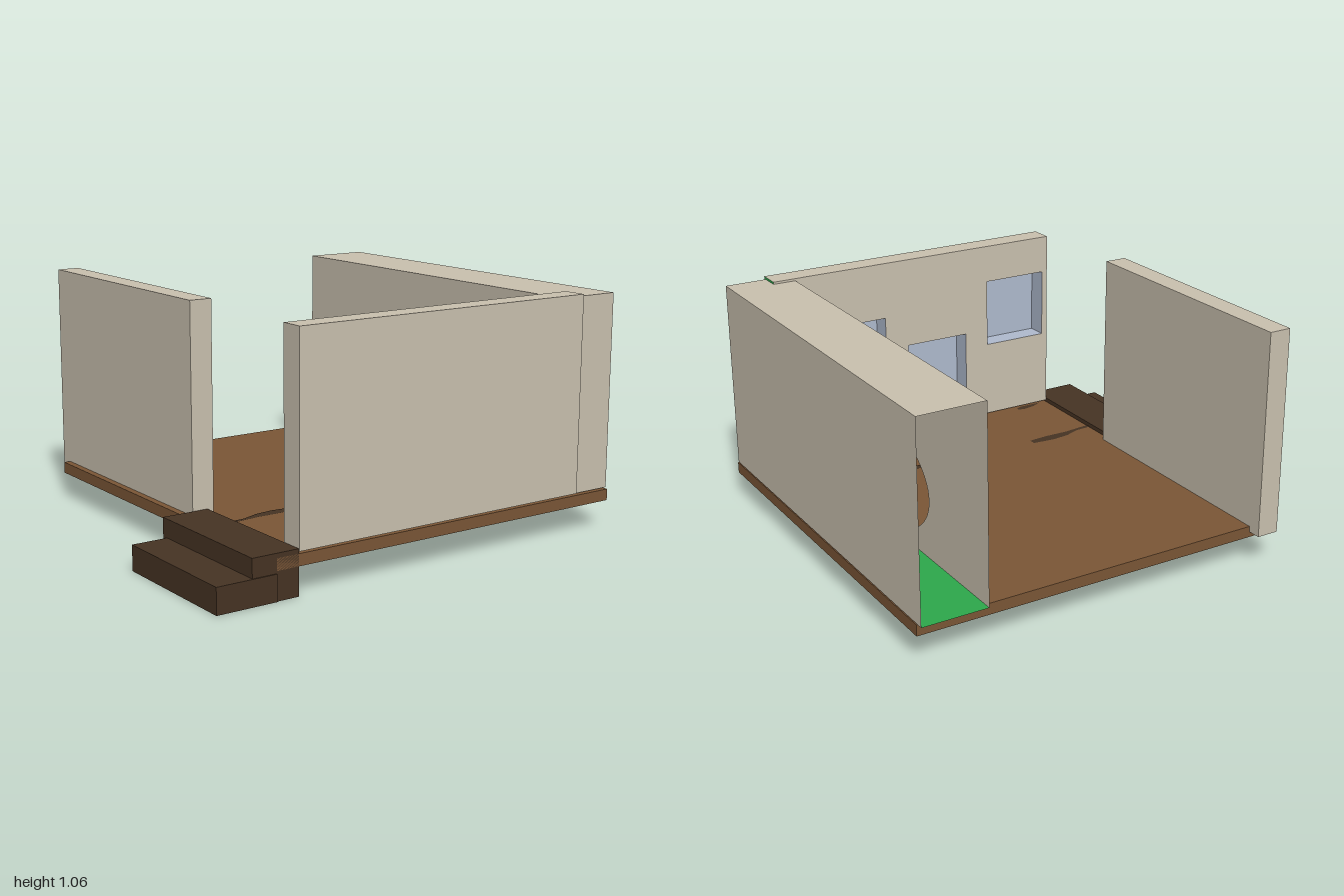
import * as THREE from 'three';

const mat = (name, color, side = THREE.FrontSide) => {
  const m = new THREE.MeshStandardMaterial({ color, side });
  m.name = name;
  return m;
};

export function createModel() {
  const plaster = mat('plaster', 0xc9c0ae, THREE.DoubleSide);
  const wood = mat('wood', 0x7a5636);
  const darkWood = mat('dark wood', 0x463323);
  const green = mat('green base', 0x2da84b, THREE.DoubleSide);
  const glass = mat('window blue', 0xafbacd, THREE.DoubleSide);
  const model = new THREE.Group();
  model.name = 'openRoom';

  const add = (name, geometry, material, parent = model) => {
    const mesh = new THREE.Mesh(geometry, material);
    mesh.name = name;
    parent.add(mesh);
    return mesh;
  };

  // Box from its bounds; faces ordered +x -x +y -y +z -z, null leaves a face open
  const box = (name, [x0, x1], [y0, y1], [z0, z1], faces, parent) => {
    const g = new THREE.BoxGeometry(x1 - x0, y1 - y0, z1 - z0);
    g.translate((x0 + x1) / 2, (y0 + y1) / 2, (z0 + z1) / 2);
    const old = Array.from(g.index.array);
    const used = [...new Set(faces.filter(Boolean))];
    const index = [];
    g.clearGroups();
    faces.forEach((m, i) => {
      if (!m) return;
      g.addGroup(index.length, 6, used.indexOf(m));
      index.push(...old.slice(i * 6, i * 6 + 6));
    });
    g.setIndex(index);
    return add(name, g, used, parent);
  };

  const rect = (x0, x1, y0, y1, Type = THREE.Shape) => new Type([
    new THREE.Vector2(x0, y0), new THREE.Vector2(x1, y0),
    new THREE.Vector2(x1, y1), new THREE.Vector2(x0, y1),
  ]);

  // Floor slab and the two side steps, with green undersides
  const solid = (m) => [m, m, m, green, m, m];
  box('floor', [-0.73, 1], [0.12, 0.17], [-0.86, 0.91], solid(wood));
  box('lowerStep', [-1, -0.73], [0, 0.11], [0.28, 0.915], solid(darkWood));
  box('upperStep', [-0.84, -0.63], [0, 0.19], [0.25, 0.91], solid(darkWood));

  // Plain side wall
  box('sideWall', [-0.7, -0.6], [0.145, 1.06], [-0.92, 0.25], solid(plaster));

  // Thick hollow wall, open at the back, with an oval opening inside
  const thick = new THREE.Group();
  thick.name = 'hollowWall';
  model.add(thick);
  box('hollowWallShell', [0.705, 1], [0.176, 1.03], [-0.9, 0.9],
    [plaster, null, plaster, green, plaster, null], thick);
  const inner = rect(-0.9, 0.9, 0.176, 1.03);
  const oval = new THREE.Path();
  oval.absellipse(0.02, 0.436, 0.445, 0.245, 0, Math.PI * 2, true);
  inner.holes.push(oval);
  const innerGeo = new THREE.ShapeGeometry(inner, 32);
  innerGeo.rotateY(-Math.PI / 2).translate(0.705, 0, 0);
  add('ovalOpeningPanel', innerGeo, plaster, thick);

  // Front wall with three window recesses on its inner face
  const front = new THREE.Group();
  front.name = 'frontWall';
  model.add(front);
  box('frontWallShell', [-0.63, 0.81], [0.18, 1.04], [0.81, 0.915],
    [green, plaster, plaster, green, plaster, null], front);
  const face = rect(-0.81, 0.63, 0.18, 1.04);
  for (const [x, y] of [[0.42, 0.613], [-0.01, 0.457], [-0.445, 0.703]]) {
    const xs = [x - 0.157, x + 0.157], ys = [y - 0.161, y + 0.161];
    face.holes.push(rect(-xs[1], -xs[0], ...ys, THREE.Path));
    box('windowRecess', xs, ys, [0.81, 0.905], [glass, glass, glass, glass, glass, null], front);
  }
  const faceGeo = new THREE.ShapeGeometry(face);
  faceGeo.rotateY(Math.PI).translate(0, 0, 0.81);
  add('frontWallInnerFace', faceGeo, plaster, front);

  // Dark streaks on the floor, outlined as x, z points
  const streaks = [
    [[0.58, -0.615], [0.705, -0.612], [0.705, -0.6], [0.66, -0.595], [0.6, -0.603]],
    [[0.3, -0.125], [0.35, -0.137], [0.4, -0.127], [0.45, -0.137], [0.48, -0.125],
      [0.45, -0.113], [0.4, -0.121], [0.36, -0.112], [0.3, -0.107]],
    [[0.53, -0.128], [0.55, -0.13], [0.55, -0.123]],
    [[-0.63, 0.41], [-0.55, 0.405], [-0.48, 0.378], [-0.4, 0.368], [-0.29, 0.378],
      [-0.29, 0.412], [-0.38, 0.42], [-0.5, 0.418], [-0.6, 0.43], [-0.63, 0.43]],
    [[0.22, 0.427], [0.28, 0.41], [0.4, 0.392], [0.705, 0.395], [0.705, 0.46],
      [0.58, 0.455], [0.52, 0.44], [0.38, 0.437], [0.28, 0.437]],
    [[-0.59, 0.81], [-0.54, 0.785], [-0.48, 0.775], [-0.45, 0.782], [-0.45, 0.8], [-0.48, 0.81]],
  ];
  for (const pts of streaks) {
    const shape = new THREE.Shape(pts.map(([x, z]) => new THREE.Vector2(x, -z)));
    const g = new THREE.ShapeGeometry(shape);
    g.rotateX(-Math.PI / 2).translate(0, 0.173, 0);
    add('floorStreak', g, darkWood);
  }
  return model;
}
